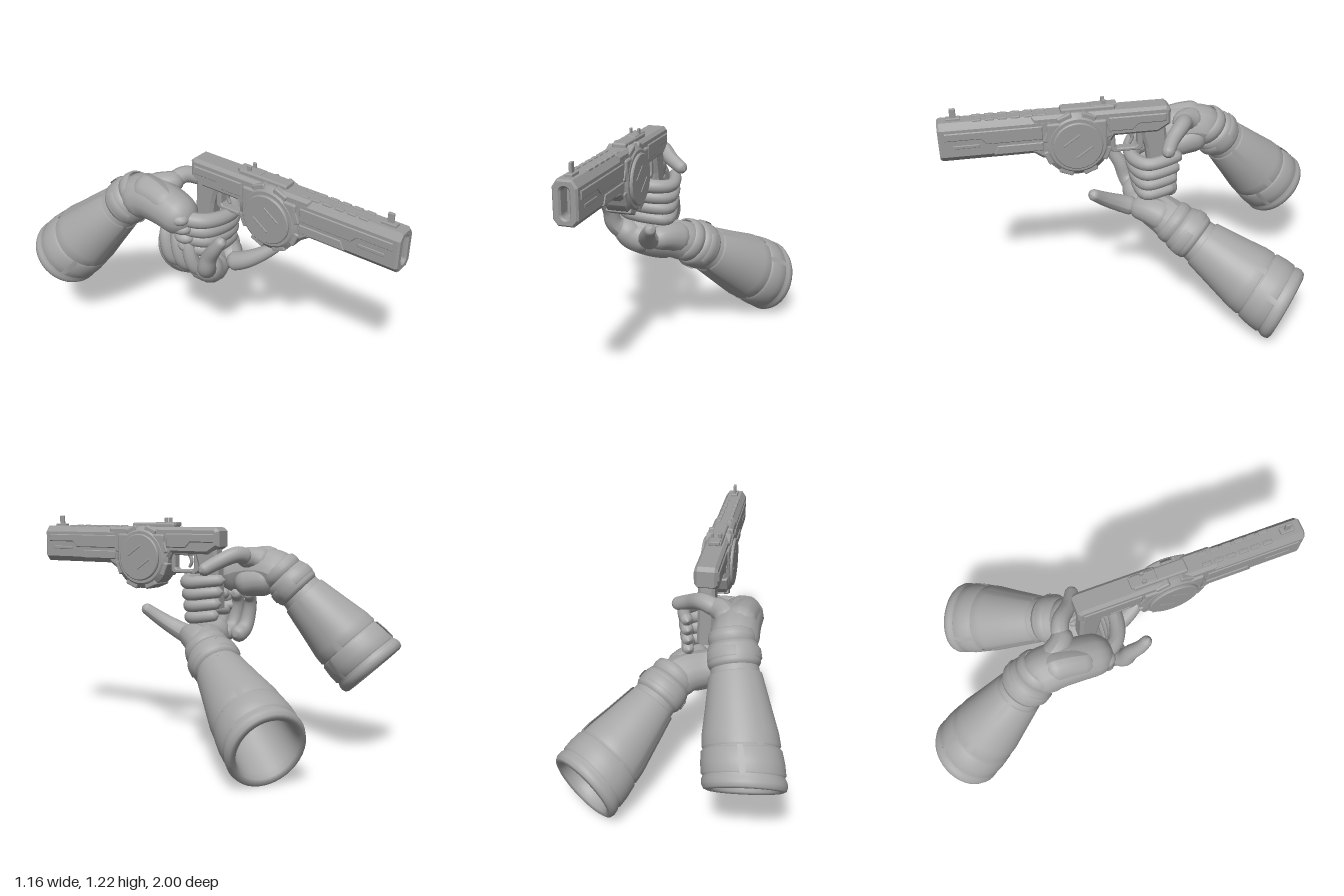
import * as THREE from 'three';
import { RoundedBoxGeometry } from 'three/addons/geometries/RoundedBoxGeometry.js';
import { toCreasedNormals } from 'three/addons/utils/BufferGeometryUtils.js';

const V = (x, y, z) => new THREE.Vector3(x, y, z);
const armGrey = new THREE.MeshStandardMaterial({ color: 0xa6a6a6, side: THREE.DoubleSide });
armGrey.name = 'armour grey';
const gunGrey = new THREE.MeshStandardMaterial({ color: 0x9c9c9c });
gunGrey.name = 'gun grey';
const GX = -0.095; // centre plane of the gun

function add(parent, name, geometry, material) {
  const mesh = new THREE.Mesh(geometry, material);
  mesh.name = name;
  parent.add(mesh);
  return mesh;
}

// Tapered tube with rounded ends, radius running from r0 to r1
function limb(points, r0, r1) {
  const curve = new THREE.CatmullRomCurve3(points.map(p => V(...p)));
  const n = 32, sides = 14, len = curve.getLength();
  const geo = new THREE.TubeGeometry(curve, n, 1, sides);
  const pos = geo.attributes.position, v = V(0, 0, 0);
  for (let i = 0; i <= n; i++) {
    const t = i / n, c = curve.getPointAt(t);
    const base = r0 + (r1 - r0) * t;
    const d = Math.min(1, Math.min(t, 1 - t) * len / base);
    const r = Math.max(0.0005, base * Math.sqrt(1 - (1 - d) ** 2));
    for (let j = 0; j <= sides; j++) {
      const k = i * (sides + 1) + j;
      v.fromBufferAttribute(pos, k).sub(c).multiplyScalar(r).add(c);
      pos.setXYZ(k, v.x, v.y, v.z);
    }
  }
  geo.computeVertexNormals();
  return geo;
}

// Side profile in (z, y), extruded across x and centred on the gun plane
function sidePlate(points, width, bevel = 0.008, hole = null, cx = GX) {
  const shape = new THREE.Shape(points.map(p => new THREE.Vector2(...p)));
  if (hole) shape.holes.push(new THREE.Path(hole.map(p => new THREE.Vector2(...p))));
  const depth = width - 2 * bevel;
  const geo = new THREE.ExtrudeGeometry(shape, {
    depth, bevelThickness: bevel, bevelSize: bevel, bevelOffset: -bevel, bevelSegments: 1 });
  geo.translate(0, 0, -depth / 2).rotateY(-Math.PI / 2).translate(cx, 0, 0);
  return geo;
}

function box(w, h, d, x, y, z, r = 0.004) {
  return new RoundedBoxGeometry(w, h, d, 2, r).translate(x, y, z);
}

function buildGun() {
  const g = new THREE.Group();
  g.name = 'pistol';

  // Barrel shroud: chamfered section with a tall slot at the muzzle
  const section = new THREE.Shape([[-0.035, 0.968], [0.035, 0.968], [0.058, 0.996], [0.058, 1.135],
    [0.035, 1.168], [-0.035, 1.168], [-0.058, 1.135], [-0.058, 0.996]].map(p => new THREE.Vector2(...p)));
  const slot = new THREE.Path();
  slot.moveTo(-0.02, 1.02).absarc(0, 1.02, 0.02, Math.PI, 0, false);
  slot.lineTo(0.02, 1.115).absarc(0, 1.115, 0.02, 0, Math.PI, false);
  section.holes.push(slot);
  const shroud = new THREE.ExtrudeGeometry(section, { depth: 0.53, bevelThickness: 0.01, bevelSize: 0.008, bevelOffset: -0.008, bevelSegments: 1 });
  add(g, 'barrelShroud', shroud.translate(GX, 0, 0.46), gunGrey);
  add(g, 'boreBack', box(0.06, 0.15, 0.3, GX, 1.068, 0.78), gunGrey);

  // Receiver with stepped lower edge
  add(g, 'receiver', sidePlate([[0.55, 0.975], [0.5, 0.94], [0.2, 0.94], [0.14, 1.03], [-0.08, 1.03], [-0.145, 1.07],
    [-0.145, 1.15], [-0.125, 1.168], [0.55, 1.168]], 0.115, 0.015), gunGrey);
  add(g, 'receiverTop', box(0.07, 0.03, 0.27, GX, 1.174, 0.27, 0.01), gunGrey);

  // Raised side panels, mirrored about the gun plane
  for (const s of [-1, 1]) {
    add(g, 'barrelPanel', sidePlate([[0.97, 1.08], [0.8, 1.08], [0.77, 1.05], [0.5, 1.05], [0.5, 1.12], [0.97, 1.12]],
      0.014, 0.004, null, GX + s * 0.056), gunGrey);
    add(g, 'barrelLowerPanel', sidePlate([[0.74, 0.99], [0.5, 0.99], [0.5, 1.035], [0.72, 1.035]],
      0.014, 0.004, null, GX + s * 0.056), gunGrey);
    add(g, 'barrelVent', box(0.012, 0.018, 0.13, GX + s * 0.055, 1.045, 0.87), gunGrey);
    add(g, 'rearPanel', sidePlate([[0.17, 1.06], [0.05, 1.06], [0.02, 1.09], [-0.12, 1.09], [-0.12, 1.135], [0.17, 1.135]],
      0.016, 0.005, null, GX + s * 0.055), gunGrey);
    add(g, 'cheekBlock', box(0.03, 0.17, 0.3, GX + s * 0.055, 1.045, 0.33, 0.012), gunGrey);
    for (let i = 0; i < 6; i++) // rail ribs along the top
      add(g, 'railRib', box(0.02, 0.016, 0.045, GX + s * 0.028, 1.165, 0.5 + i * 0.062), gunGrey);
  }

  // Drum magazine: stepped disc with cooling blocks round its rim
  const drumProfile = [[0, -0.085], [0.12, -0.085], [0.125, -0.08], [0.125, -0.072], [0.14, -0.072], [0.15, -0.064],
    [0.168, -0.05], [0.168, 0.05], [0.15, 0.064], [0.14, 0.072], [0.125, 0.072], [0.125, 0.08], [0.12, 0.085], [0, 0.085]];
  const drum = new THREE.LatheGeometry(drumProfile.map(p => new THREE.Vector2(...p)), 40);
  add(g, 'drum', toCreasedNormals(drum, 0.5).rotateZ(Math.PI / 2).translate(GX, 1.005, 0.33), gunGrey);
  for (let i = 0; i < 8; i++) {
    const a = (i + 0.5) * Math.PI / 4;
    const block = box(0.13, 0.03, 0.075, 0, 0.157, 0, 0.008).rotateX(a).translate(GX, 1.005, 0.33);
    add(g, 'drumBlock', block, gunGrey);
  }
  for (const s of [-1, 1]) for (const k of [-1, 1])
    add(g, 'drumRidge', box(0.006, 0.01, 0.1, 0, 0, 0, 0.003).rotateX(0.6).translate(GX + s * 0.085, 1.005 + k * 0.035, 0.33 + k * 0.03), gunGrey);

  // Sights
  add(g, 'frontSightBase', box(0.035, 0.02, 0.07, GX, 1.17, 0.92), gunGrey);
  add(g, 'frontSight', box(0.014, 0.06, 0.03, GX, 1.195, 0.92), gunGrey);
  add(g, 'rearSightBase', box(0.055, 0.02, 0.13, GX, 1.183, 0.19), gunGrey);
  for (const s of [-1, 1]) add(g, 'rearSightPost', box(0.012, 0.035, 0.02, GX + s * 0.02, 1.2, 0.19), gunGrey);

  // Trigger, guard and grip
  add(g, 'triggerGuard', sidePlate([[0.16, 1.05], [0.16, 0.935], [0.145, 0.925], [0.01, 0.925], [-0.01, 0.94], [-0.01, 1.05]],
    0.05, 0.005, [[0.135, 1.02], [0.02, 1.02], [0.02, 0.955], [0.03, 0.945], [0.125, 0.945], [0.135, 0.955]]), gunGrey);
  add(g, 'trigger', limb([[GX, 1.03, 0.06], [GX, 0.99, 0.045], [GX, 0.955, 0.06]], 0.011, 0.008), gunGrey);
  add(g, 'grip', sidePlate([[0.01, 1.05], [-0.12, 1.07], [-0.13, 0.99], [-0.14, 0.75], [-0.05, 0.73], [-0.02, 0.94]], 0.085, 0.015), gunGrey);
  return g;
}

// Armoured forearm from wrist to open elbow; R is the elbow radius, lean slants the elbow rim
function buildForearm(name, wrist, elbow, R, lean) {
  const g = new THREE.Group();
  g.name = name;
  const axis = V(...elbow).sub(V(...wrist)), L = axis.length();
  g.position.set(...wrist);
  g.quaternion.setFromUnitVectors(V(0, 1, 0), axis.normalize());
  const slant = V(...lean).applyQuaternion(g.quaternion.clone().invert());
  const lathe = (pts, start = 0, sweep = Math.PI * 2) => {
    const geo = new THREE.LatheGeometry(pts.map(p => new THREE.Vector2(p[0] * R, p[1] * L)), sweep > 6 ? 40 : 14, start, sweep);
    const pos = geo.attributes.position;
    for (let i = 0; i < pos.count; i++) {
      const x = pos.getX(i), y = pos.getY(i), z = pos.getZ(i);
      const k = THREE.MathUtils.smoothstep(y / L, 0.3, 1);
      pos.setY(i, y - k * (x * slant.x + z * slant.z));
    }
    return geo;
  };

  // Hollow shell, folded inward at the rim
  add(g, 'forearmShell', lathe([[0.005, -0.02], [0.5, -0.02], [0.56, 0.1], [0.6, 0.2], [0.735, 0.42], [0.87, 0.64], [0.93, 0.8], [0.945, 0.9],
    [0.99, 0.93], [1, 0.96], [0.96, 0.99], [0.88, 1], [0.79, 0.985], [0.75, 0.94], [0.7, 0.7], [0.58, 0.5], [0.35, 0.45], [0.005, 0.44]]), armGrey);
  // Cuff rings at the wrist
  add(g, 'wristCuff', lathe([[0.48, -0.03], [0.58, -0.025], [0.63, 0.01], [0.65, 0.07], [0.64, 0.12], [0.58, 0.15], [0.48, 0.15]]), armGrey);
  add(g, 'cuffRing', lathe([[0.5, -0.12], [0.56, -0.11], [0.59, -0.07], [0.57, -0.03], [0.5, -0.02]]), armGrey);
  for (let i = 0; i < 3; i++) {
    const a = i * Math.PI * 2 / 3;
    add(g, 'forearmPlate', lathe([[0.58, 0.19], [0.645, 0.2], [0.78, 0.42], [0.91, 0.62], [0.93, 0.7], [0.87, 0.72]], a, 1.9), armGrey);
    add(g, 'elbowPlate', lathe([[0.87, 0.71], [0.95, 0.73], [0.985, 0.82], [0.985, 0.89], [0.91, 0.91]], a + 0.5, 1.95), armGrey);
    add(g, 'cuffPlate', lathe([[0.6, 0.02], [0.67, 0.03], [0.68, 0.09], [0.6, 0.11]], a + 0.3, 1.3), armGrey);
  }
  return g;
}

// Hand closed round the grip
function buildGripHand() {
  const g = new THREE.Group();
  g.name = 'rightHand';
  add(g, 'palm', limb([[-0.275, 0.89, -0.46], [-0.27, 0.945, -0.33], [-0.275, 0.94, -0.2], [-0.28, 0.89, -0.03]], 0.12, 0.1), armGrey);
  add(g, 'palmHeel', limb([[-0.25, 0.9, -0.38], [-0.22, 0.89, -0.27], [-0.21, 0.86, -0.16]], 0.09, 0.07), armGrey);
  add(g, 'handBackPlate', limb([[-0.28, 0.99, -0.38], [-0.29, 0.99, -0.26], [-0.31, 0.96, -0.12]], 0.085, 0.065), armGrey);
  add(g, 'thumbRoot', limb([[-0.25, 0.98, -0.34], [-0.2, 1.01, -0.26], [-0.13, 1.01, -0.21]], 0.07, 0.048), armGrey);
  add(g, 'thumb', limb([[-0.18, 1.01, -0.25], [-0.1, 1.03, -0.22], [-0.02, 0.99, -0.15], [0.07, 0.945, -0.1]], 0.047, 0.032), armGrey);
  for (let i = 0; i < 4; i++) {
    const y = 0.9 - i * 0.06, s = i * 0.012;
    add(g, 'finger', limb([[-0.3 + s, y + 0.02, -0.11], [-0.25 + s, y + 0.01, 0], [-0.16, y, 0.045 - s],
      [-0.05, y - 0.01, 0.045 - s], [0.02 - s / 2, y - 0.015, -0.01], [0.018 - s / 2, y - 0.005, -0.1],
      [-0.02, y + 0.005, -0.2 + s]], 0.042, 0.03), armGrey);
    add(g, 'knuckleGuard', new THREE.SphereGeometry(0.045, 16, 12).scale(1, 0.75, 1.2).translate(-0.32 + s * 1.5, y + 0.03, -0.08), armGrey);
  }
  return g;
}

// Open hand cradling from below
function buildSupportHand() {
  const g = new THREE.Group();
  g.name = 'leftHand';
  add(g, 'palm', limb([[0.11, 0.5, -0.2], [0.02, 0.56, -0.12], [-0.1, 0.575, -0.06], [-0.26, 0.645, -0.03]], 0.115, 0.085), armGrey);
  add(g, 'palmEdge', limb([[-0.08, 0.57, -0.04], [-0.19, 0.6, 0], [-0.25, 0.68, 0.02]], 0.09, 0.065), armGrey);
  add(g, 'palmHeel', limb([[0.06, 0.56, -0.14], [0, 0.6, -0.03], [-0.07, 0.6, 0.06]], 0.095, 0.055), armGrey);
  add(g, 'handBackPlate', limb([[0.02, 0.52, -0.11], [-0.1, 0.53, -0.07], [-0.21, 0.57, -0.02]], 0.07, 0.06), armGrey);
  add(g, 'thumb', limb([[-0.07, 0.59, 0.03], [-0.06, 0.63, 0.12], [-0.03, 0.68, 0.2], [0.02, 0.75, 0.285]], 0.055, 0.028), armGrey);
  add(g, 'indexFinger', limb([[-0.2, 0.6, 0], [-0.27, 0.67, 0.045], [-0.28, 0.75, 0.075], [-0.29, 0.82, 0.12], [-0.285, 0.89, 0.165]], 0.055, 0.027), armGrey);
  for (let i = 0; i < 3; i++) {
    const z = -0.04 - i * 0.075;
    add(g, 'finger', limb([[-0.17, 0.59, z + 0.02], [-0.25, 0.63, z], [-0.275, 0.71, z - 0.015],
      [-0.26, 0.79, z - 0.03], [-0.2, 0.83, z - 0.04]], 0.048, 0.028), armGrey);
  }
  return g;
}

export function createModel() {
  const model = new THREE.Group();
  model.name = 'armouredArmsWithPistol';
  model.add(buildGun(), buildGripHand(), buildSupportHand(),
    buildForearm('rightForearm', [-0.27, 0.91, -0.425], [-0.393, 0.447, -0.868], 0.19, [0.12, 0, 0]),
    buildForearm('leftForearm', [0.09, 0.53, -0.18], [0.42, 0.185, -0.67], 0.2, [0.06, 0.17, -0.04]));
  return model;
}
